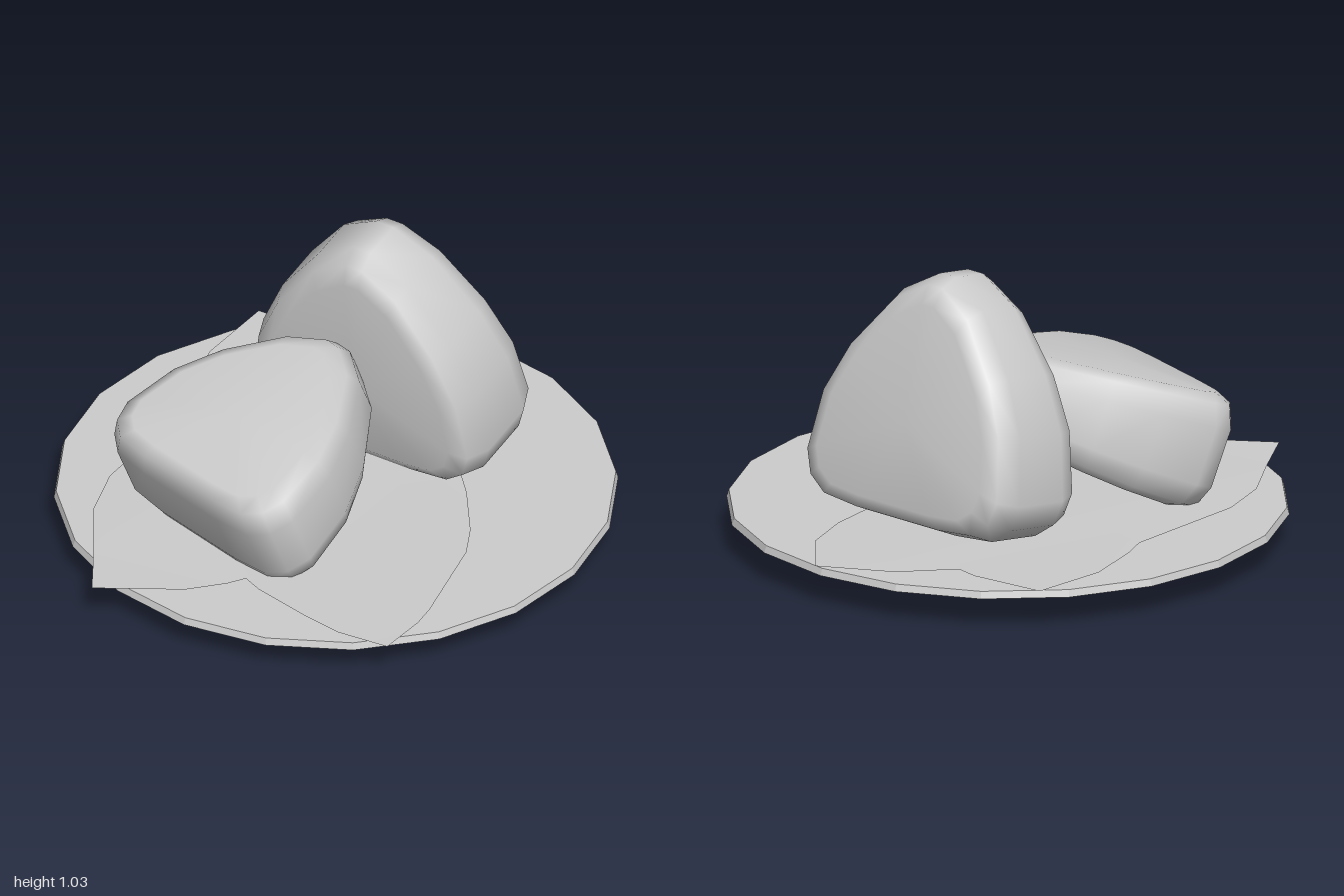
import * as THREE from 'three';
import { toCreasedNormals } from 'three/addons/utils/BufferGeometryUtils.js';

const grey = new THREE.MeshStandardMaterial({ color: 0xcccccc });
const greyThin = new THREE.MeshStandardMaterial({ color: 0xcccccc, side: THREE.DoubleSide });

function mesh(name, geometry, material = grey) {
  const m = new THREE.Mesh(geometry, material);
  m.name = name;
  return m;
}

// Shallow 20-sided plate whose foot is reduced to a decagon
function plateGeometry() {
  const profile = [[0, 0], [0.565, 0], [0.968, 0.11], [0.96, 0.135], [0, 0.135]];
  const geo = new THREE.LatheGeometry(profile.map(([r, y]) => new THREE.Vector2(r, y)), 20);
  const pos = geo.attributes.position;
  for (let i = 0; i < pos.count; i++) {
    const segment = Math.floor(i / profile.length);
    if (i % profile.length === 1 && segment % 2 === 1) {
      const k = Math.cos(Math.PI / 10);
      pos.setX(i, pos.getX(i) * k);
      pos.setZ(i, pos.getZ(i) * k);
    }
  }
  return toCreasedNormals(geo, 0.2);
}

// Thin pointed leaf from its [x, z] outline, curling up towards the tips
function leafGeometry(outline, base, curl) {
  const shape = new THREE.Shape(outline.map(([x, z]) => new THREE.Vector2(x, -z)));
  const geo = new THREE.ShapeGeometry(shape).rotateX(-Math.PI / 2);
  const pos = geo.attributes.position;
  for (let i = 0; i < pos.count; i++) {
    pos.setY(i, base + curl * (pos.getX(i) ** 2 + pos.getZ(i) ** 2));
  }
  geo.computeVertexNormals();
  return geo;
}

// Rounded triangular rice ball, thinner towards its apex
function riceBallGeometry() {
  const half = [[0.2, 0], [0.36, 0.015], [0.435, 0.07], [0.465, 0.16],
    [0.43, 0.39], [0.34, 0.58], [0.18, 0.785], [0.035, 0.87]];
  const outline = [...half, ...half.slice().reverse().map(([x, y]) => [-x, y])];
  const rings = [[0.8, -1], [0.93, -0.88], [1, -0.5], [1, 0.5], [0.93, 0.88], [0.8, 1]];
  const n = outline.length, midY = 0.36;
  const thickness = (y) => 0.228 - 0.11 * y * y;
  const vertices = [], index = [];
  for (const [scale, depth] of rings) {
    for (const [x, y] of outline) {
      const v = midY + (y - midY) * scale;
      vertices.push(x * scale, v, depth * thickness(v));
    }
  }
  for (let r = 0; r < rings.length - 1; r++) {
    for (let j = 0; j < n; j++) {
      const a = r * n + j, b = r * n + (j + 1) % n;
      index.push(a, b, b + n, a, b + n, a + n);
    }
  }
  // Nearly flat faces
  const back = vertices.length / 3, front = back + 1, last = (rings.length - 1) * n;
  vertices.push(0, midY, -1.03 * thickness(midY), 0, midY, 1.03 * thickness(midY));
  for (let j = 0; j < n; j++) {
    const k = (j + 1) % n;
    index.push(back, k, j, front, last + j, last + k);
  }
  const geo = new THREE.BufferGeometry();
  geo.setAttribute('position', new THREE.Float32BufferAttribute(vertices, 3));
  geo.setIndex(index);
  geo.computeVertexNormals();
  return geo;
}

export function createModel() {
  const group = new THREE.Group();
  group.name = 'riceBallPlate';

  const plate = mesh('plate', plateGeometry());
  plate.position.z = -0.006;
  group.add(plate);

  // Two crossed leaves
  group.add(mesh('longLeaf', leafGeometry([
    [0, -1], [-0.24, -0.86], [-0.38, -0.69], [-0.53, -0.45], [-0.66, -0.07], [-0.66, 0.4],
    [-0.6, 0.6], [-0.47, 0.8], [-0.35, 1], [-0.08, 0.83], [0.02, 0.72], [0.16, 0.5],
    [0.27, 0.1], [0.29, -0.3], [0.25, -0.6], [0.18, -0.8],
  ], 0.14, 0.012), greyThin));
  group.add(mesh('crossLeaf', leafGeometry([
    [-0.75, -0.69], [-0.765, -0.4], [-0.7, -0.17], [-0.6, 0.07], [-0.4, 0.35], [-0.15, 0.57],
    [0.13, 0.69], [0.35, 0.74], [0.5, 0.765], [0.69, 0.75], [0.7, 0.57], [0.69, 0.48],
    [0.61, 0.12], [0.55, 0], [0.42, -0.18], [0.2, -0.42], [-0.1, -0.61], [-0.38, -0.69], [-0.47, -0.71],
  ], 0.138, 0.016), greyThin));

  // Standing ball leans slightly forward
  const shape = riceBallGeometry();
  const standing = mesh('standingRiceBall', shape);
  standing.position.set(0, 0.157, -0.387);
  standing.rotation.x = 0.165;
  group.add(standing);

  // Second ball reclines against the first
  const leaning = mesh('leaningRiceBall', shape);
  leaning.position.set(-0.213, 0.272, 0.6);
  leaning.rotation.set(-1.18, -0.27, 0, 'YXZ');
  leaning.scale.setScalar(0.92);
  group.add(leaning);

  return group;
}
